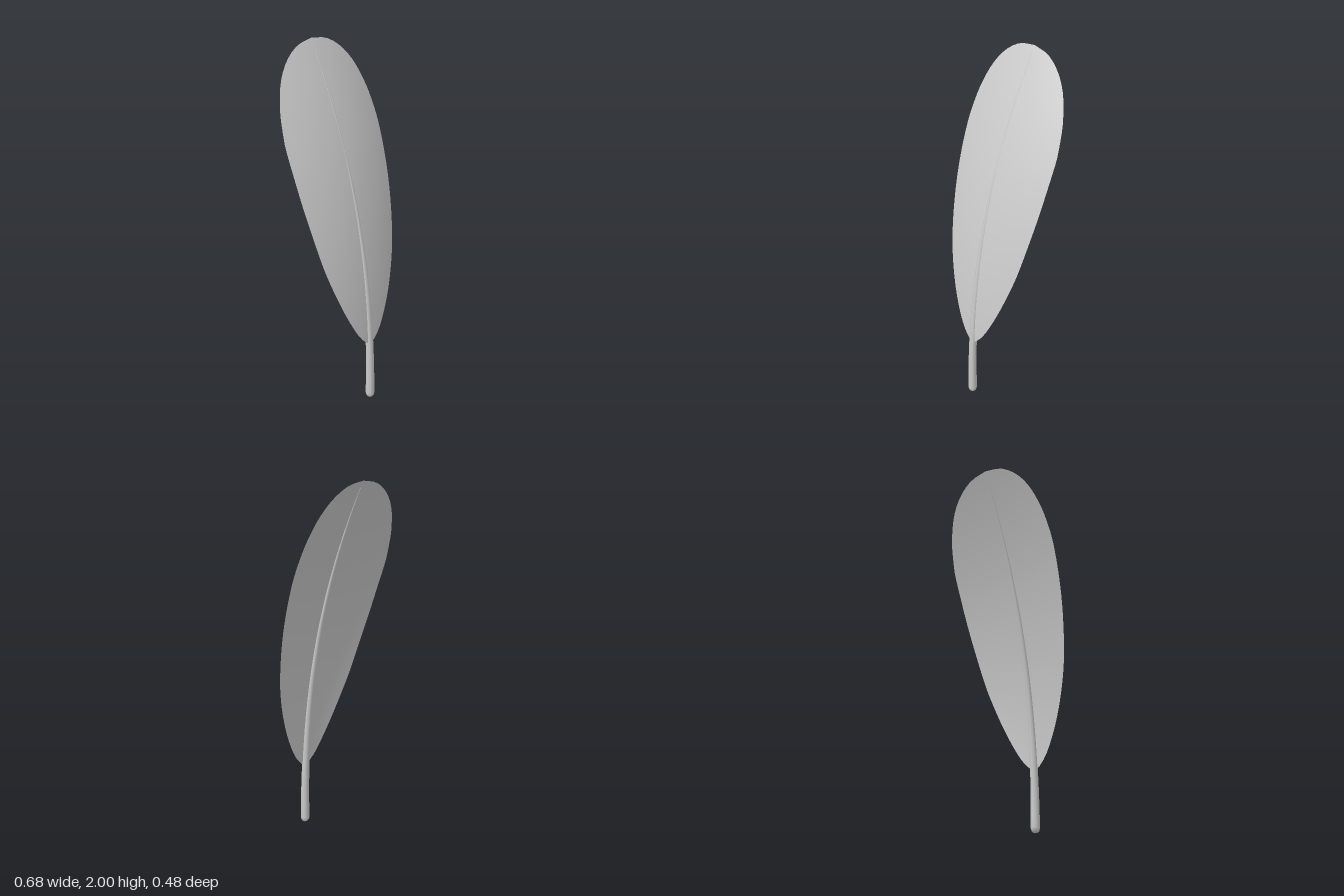
import * as THREE from 'three';
import { mergeVertices } from 'three/addons/utils/BufferGeometryUtils.js';

// Backward sweep of the feather: depth of its spine at height y
const spineZ = (y) => 0.217 - 0.452 * Math.pow(Math.max(y, 0) / 2, 2.3);

// Quill: tapered eight-sided shaft with a rounded foot, bent along the spine
function makeShaft(material) {
  const profile = [[0, 0], [0.013, 0.003], [0.021, 0.011], [0.025, 0.027]]
    .map(([r, y]) => new THREE.Vector2(r, y));
  const rows = 32, top = 1.96;
  for (let i = 1; i <= rows; i++) {
    const t = i / rows;
    profile.push(new THREE.Vector2(
      THREE.MathUtils.lerp(0.025, 0.002, t), THREE.MathUtils.lerp(0.027, top, t)));
  }
  profile.push(new THREE.Vector2(0, top + 0.004));

  let geometry = new THREE.LatheGeometry(profile, 8);
  geometry.deleteAttribute('uv');
  geometry.deleteAttribute('normal');
  geometry = mergeVertices(geometry, 1e-5);
  const p = geometry.attributes.position;
  for (let i = 0; i < p.count; i++) p.setZ(i, p.getZ(i) + spineZ(p.getY(i)));
  geometry.computeVertexNormals();
  const shaft = new THREE.Mesh(geometry, material);
  shaft.name = 'shaft';
  return shaft;
}

// Vane: thin sheet, its sides curling backward from the spine
function makeVane(material) {
  const outline = new THREE.SplineCurve([
    [0, 0.34], [0.05, 0.378], [0.105, 0.455], [0.18, 0.61], [0.25, 0.81], [0.29, 0.99],
    [0.325, 1.23], [0.341, 1.48], [0.333, 1.6], [0.312, 1.71], [0.265, 1.83],
    [0.196, 1.92], [0.105, 1.98], [0, 2],
  ].map(([w, y]) => new THREE.Vector2(w, y)));

  const across = 16, along = 48;
  const geometry = new THREE.PlaneGeometry(2, 1, across, along);
  const rim = outline.getSpacedPoints(along).reverse();
  const p = geometry.attributes.position;
  for (let i = 0; i < p.count; i++) {
    const { x: halfWidth, y } = rim[Math.floor(i / (across + 1))];
    const x = p.getX(i) * halfWidth;
    p.setXYZ(i, x, y, spineZ(y) + 0.007 * (2 - y) / 0.6 * (y > 1.4 ? 1 : 0.6 / (2 - y)) - 0.5 * x * x);
  }
  geometry.computeVertexNormals();
  const vane = new THREE.Mesh(geometry, material);
  vane.name = 'vane';
  return vane;
}

export function createModel() {
  const group = new THREE.Group();
  group.name = 'feather';
  group.add(
    makeShaft(new THREE.MeshStandardMaterial({ color: 0xcccccc })),
    makeVane(new THREE.MeshStandardMaterial({ color: 0xcccccc, side: THREE.DoubleSide })),
  );
  return group;
}
